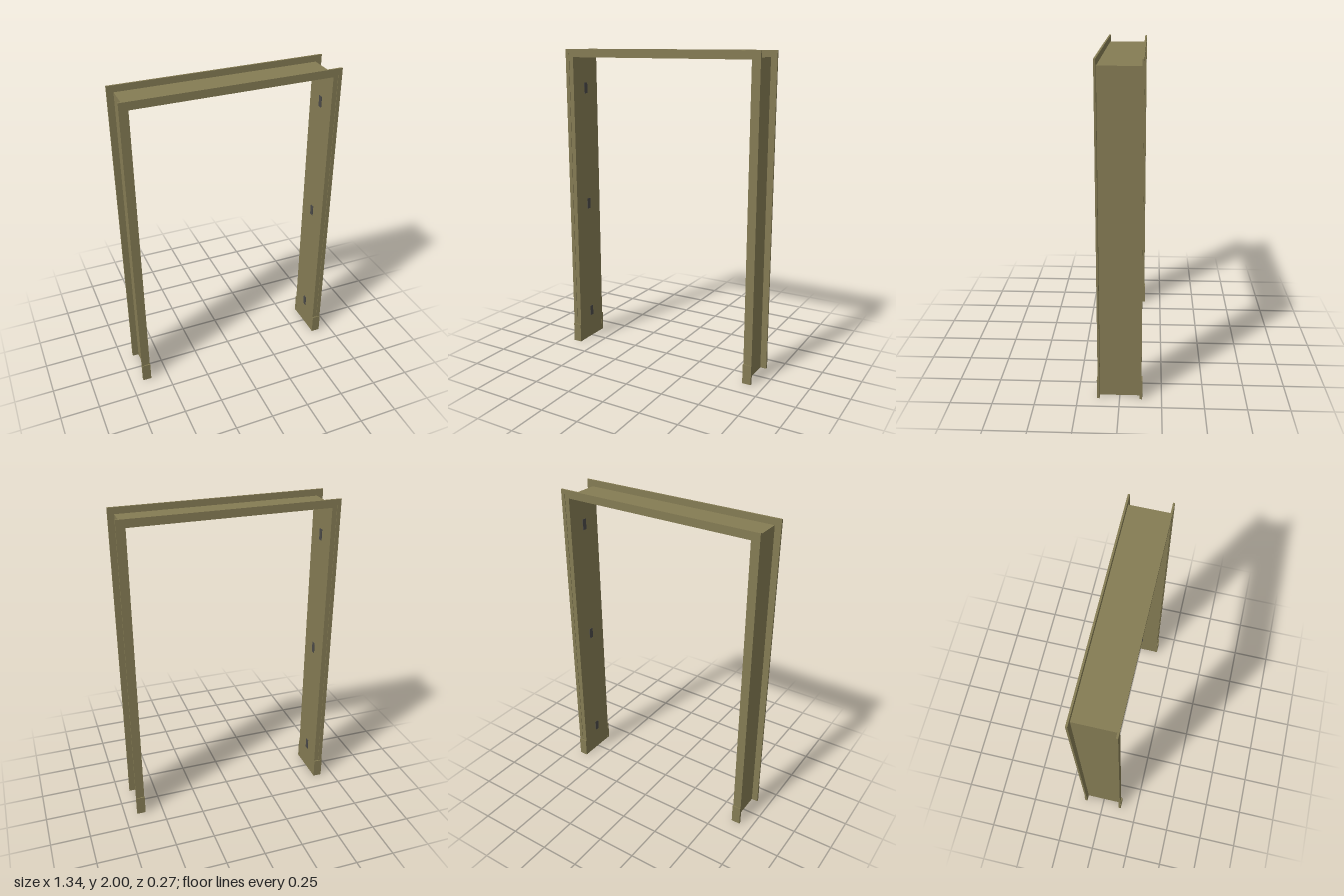
import * as THREE from 'three';

const W = 0.67, H = 2, INNER = 0.615, HEAD = 1.95;

// Upside-down U outline between an outer and an inner rectangle
function archShape(outX, outY, inX, inY) {
  const s = new THREE.Shape();
  s.moveTo(-outX, 0);
  s.lineTo(-inX, 0);
  s.lineTo(-inX, inY);
  s.lineTo(inX, inY);
  s.lineTo(inX, 0);
  s.lineTo(outX, 0);
  s.lineTo(outX, outY);
  s.lineTo(-outX, outY);
  s.closePath();
  return s;
}

function arch(name, shape, z0, z1, material) {
  const geo = new THREE.ExtrudeGeometry(shape, { depth: z1 - z0, bevelEnabled: false });
  geo.translate(0, 0, z0);
  const mesh = new THREE.Mesh(geo, material);
  mesh.name = name;
  return mesh;
}

function box(name, w, h, d, x, y, z, material) {
  const mesh = new THREE.Mesh(new THREE.BoxGeometry(w, h, d), material);
  mesh.position.set(x, y, z);
  mesh.name = name;
  return mesh;
}

export function createModel() {
  const group = new THREE.Group();
  group.name = 'doorFrame';
  const paint = new THREE.MeshStandardMaterial({ color: 0x857c54 });
  paint.name = 'olivePaint';
  const metal = new THREE.MeshStandardMaterial({ color: 0x4b4a48 });
  metal.name = 'darkMetal';

  // Lining: two jambs and the head
  group.add(arch('lining', archShape(0.63, 1.96, INNER, HEAD), -0.12, 0.12, paint));

  // Casing on both faces, with a raised outer band
  for (const side of [1, -1]) {
    const casing = new THREE.Group();
    casing.name = side > 0 ? 'frontCasing' : 'backCasing';
    casing.add(arch('casingBoard', archShape(W, H, INNER, HEAD), 0.119, 0.127, paint));
    casing.add(arch('casingOuterBand', archShape(W, H, 0.645, 1.975), 0.127, 0.13, paint));

    // Plinth blocks at the feet
    for (const x of [1, -1]) {
      casing.add(box('plinthBlock', 0.056, 0.125, 0.016, x * 0.642, 0.0625, 0.127, paint));
    }
    if (side < 0) casing.rotation.y = Math.PI;
    group.add(casing);
  }

  // Hinge plates on the inner faces of both jambs
  for (const x of [1, -1]) {
    for (const y of [0.19, 0.97, 1.75]) {
      group.add(box('hingePlate', 0.004, 0.07, 0.03, x * (INNER - 0.001), y, 0, metal));
    }
  }
  return group;
}
